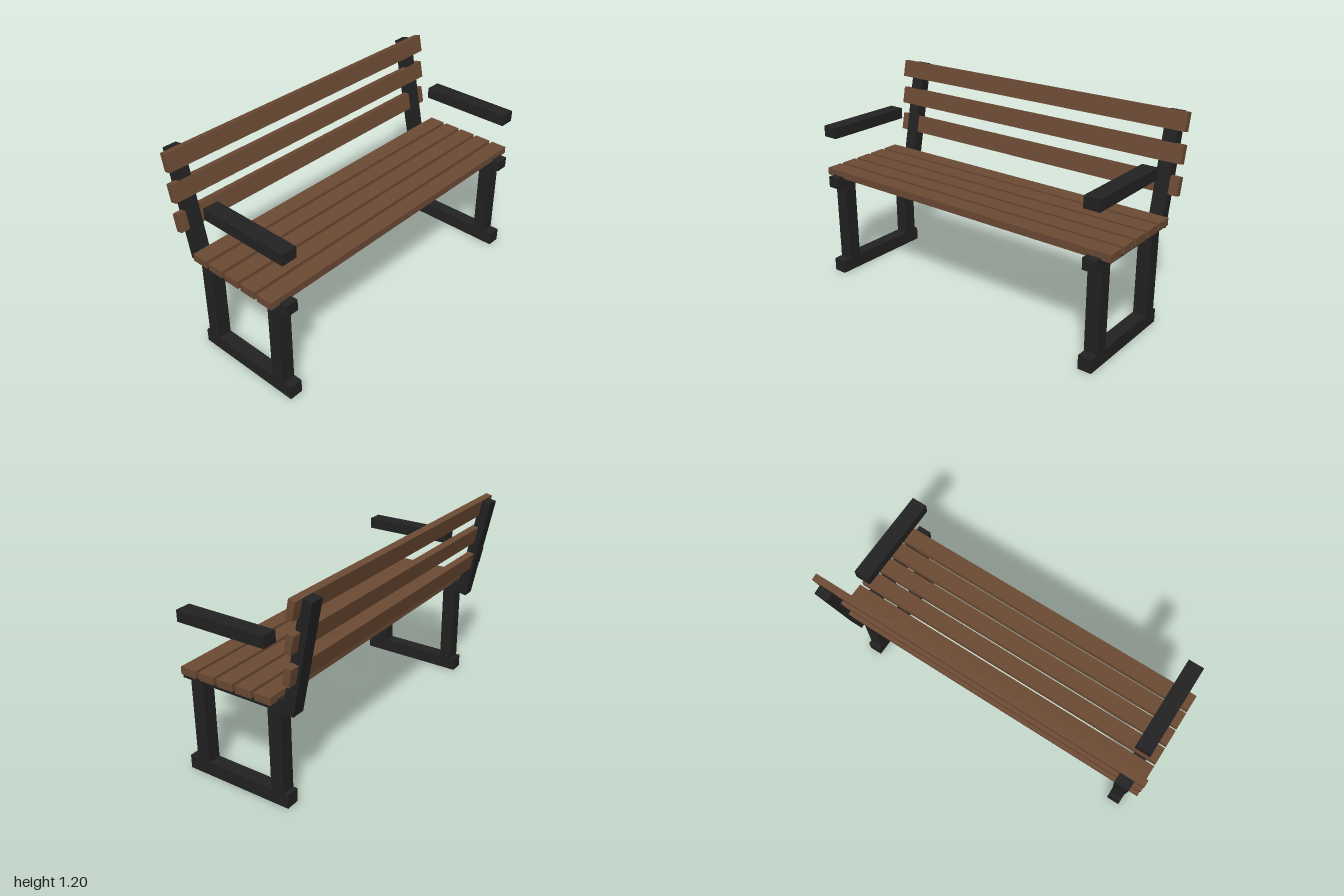
import * as THREE from 'three';

export function createModel() {
  const wood = new THREE.MeshStandardMaterial({ color: 0x6b4a34 });
  wood.name = 'brown wood';
  const iron = new THREE.MeshStandardMaterial({ color: 0x222222 });
  iron.name = 'dark iron';

  const bench = new THREE.Group();
  bench.name = 'bench';
  const tilt = -0.203; // backrest lean

  function box(parent, name, material, size, position, lean = 0) {
    const mesh = new THREE.Mesh(new THREE.BoxGeometry(...size), material);
    mesh.name = name;
    mesh.position.set(...position);
    mesh.rotation.x = lean;
    parent.add(mesh);
  }

  // End frames, one at each side
  for (const [side, name] of [[1, 'leftFrame'], [-1, 'rightFrame']]) {
    const frame = new THREE.Group();
    frame.name = name;
    frame.position.x = side * 0.906;
    box(frame, 'foot', iron, [0.08, 0.08, 0.665], [0, 0.04, 0.0925]);
    box(frame, 'frontLeg', iron, [0.08, 0.5, 0.08], [0, 0.32, 0.33]);
    box(frame, 'backLeg', iron, [0.08, 0.5, 0.08], [0, 0.32, -0.175]);
    box(frame, 'seatRail', iron, [0.079, 0.066, 0.665], [0, 0.594, 0.0925]);
    box(frame, 'backPost', iron, [0.08, 0.64, 0.066], [0, 0.876, -0.325], tilt);
    box(frame, 'armrest', iron, [0.093, 0.066, 0.56], [0, 0.914, 0.145]);
    bench.add(frame);
  }

  // Seat slats
  for (let i = 0; i < 5; i++) {
    box(bench, 'seatSlat', wood, [2, 0.043, 0.1], [0, 0.6385, 0.33 - i * 0.12]);
  }

  // Backrest slats, leaning with the posts
  for (let i = 0; i < 3; i++) {
    box(bench, 'backSlat', wood, [2, 0.103, 0.04],
      [0, 0.801 + i * 0.174, -0.306 - i * 0.0165], tilt);
  }

  return bench;
}
